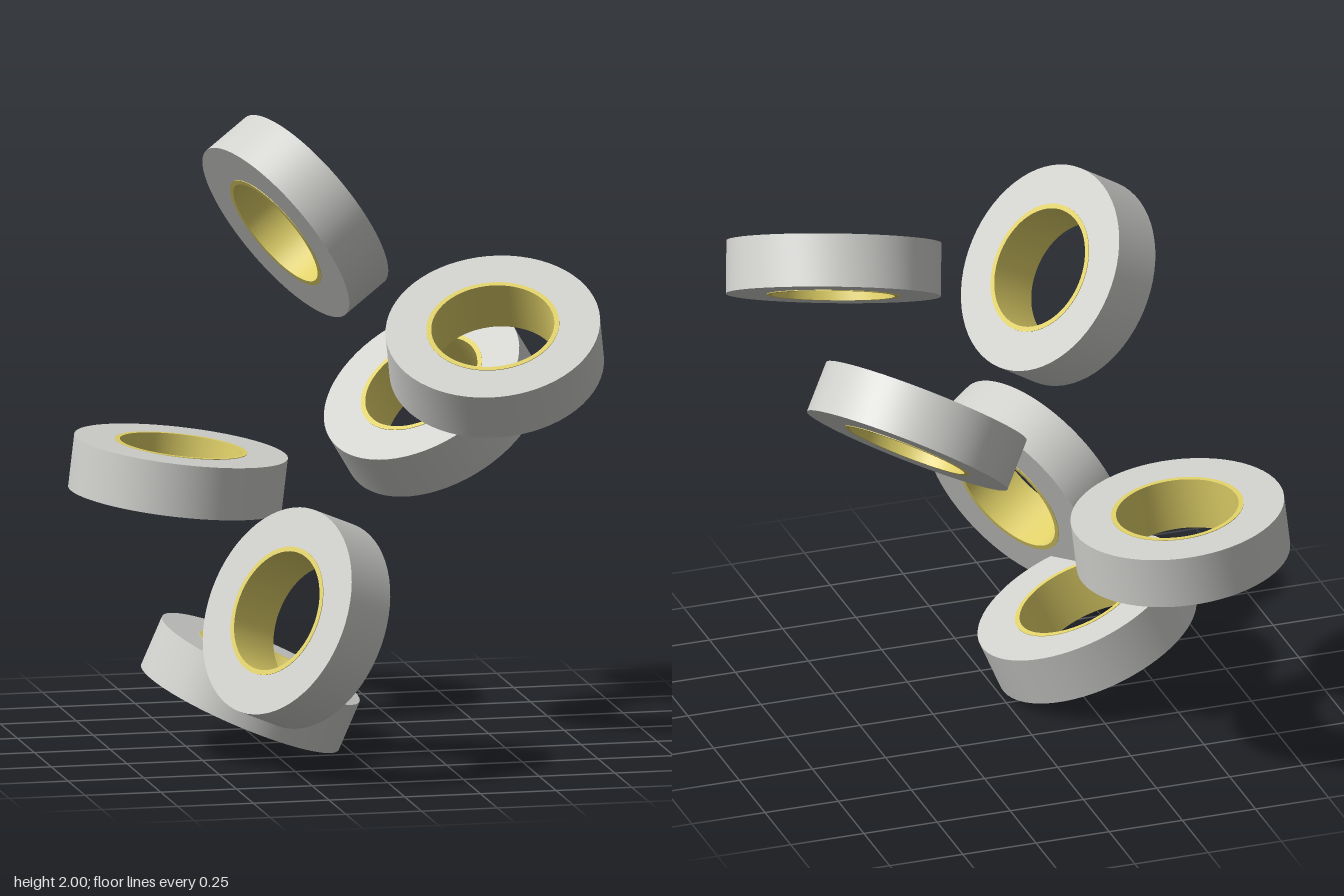
import * as THREE from 'three';
import { toCreasedNormals } from 'three/addons/utils/BufferGeometryUtils.js';

const OUTER = 0.347, CORE_OUTER = 0.215, CORE_INNER = 0.199;
const HALF = 0.086, CORE_HALF = 0.088;

// centre and axis of each tumbling roll
const ROLLS = [
  { at: [-0.07, 1.665, -0.305], axis: [0.80, 0.55, -0.235] },
  { at: [0.40, 1.375, 0.54], axis: [-0.18, 0.86, 0.475] },
  { at: [0.333, 1.085, -0.078], axis: [-0.505, 0.79, 0.345] },
  { at: [-0.405, 0.795, -0.54], axis: [0.115, 0.993, 0.012] },
  { at: [-0.253, 0.51, 0.532], axis: [-0.83, 0.385, 0.405] },
  { at: [-0.305, 0.215, 0.083], axis: [0.382, 0.92, 0.085] },
];

// spins a profile around y, keeping its rims sharp
function spin(points) {
  const profile = points.map(([r, y]) => new THREE.Vector2(r, y));
  return toCreasedNormals(new THREE.LatheGeometry(profile, 64), Math.PI / 5);
}

export function createModel() {
  const grey = new THREE.MeshStandardMaterial({ color: 0xd0d0cd });
  grey.name = 'tape grey';
  const yellow = new THREE.MeshStandardMaterial({ color: 0xe0d068 });
  yellow.name = 'core yellow';

  // wound tape: two flat faces and the outer wall
  const tapeGeometry = spin([
    [CORE_OUTER, -HALF], [OUTER, -HALF], [OUTER, HALF], [CORE_OUTER, HALF],
  ]);
  // thin core tube, standing slightly proud of the tape
  const coreGeometry = spin([
    [CORE_OUTER, -CORE_HALF], [CORE_OUTER, CORE_HALF],
    [CORE_INNER, CORE_HALF], [CORE_INNER, -CORE_HALF], [CORE_OUTER, -CORE_HALF],
  ]);

  const model = new THREE.Group();
  model.name = 'tapeRolls';
  const up = new THREE.Vector3(0, 1, 0);
  ROLLS.forEach(({ at, axis }, i) => {
    const roll = new THREE.Group();
    roll.name = `tapeRoll${i + 1}`;
    const tape = new THREE.Mesh(tapeGeometry, grey);
    tape.name = 'tape';
    const core = new THREE.Mesh(coreGeometry, yellow);
    core.name = 'core';
    roll.add(tape, core);
    roll.position.set(...at);
    roll.quaternion.setFromUnitVectors(up, new THREE.Vector3(...axis).normalize());
    model.add(roll);
  });
  return model;
}
